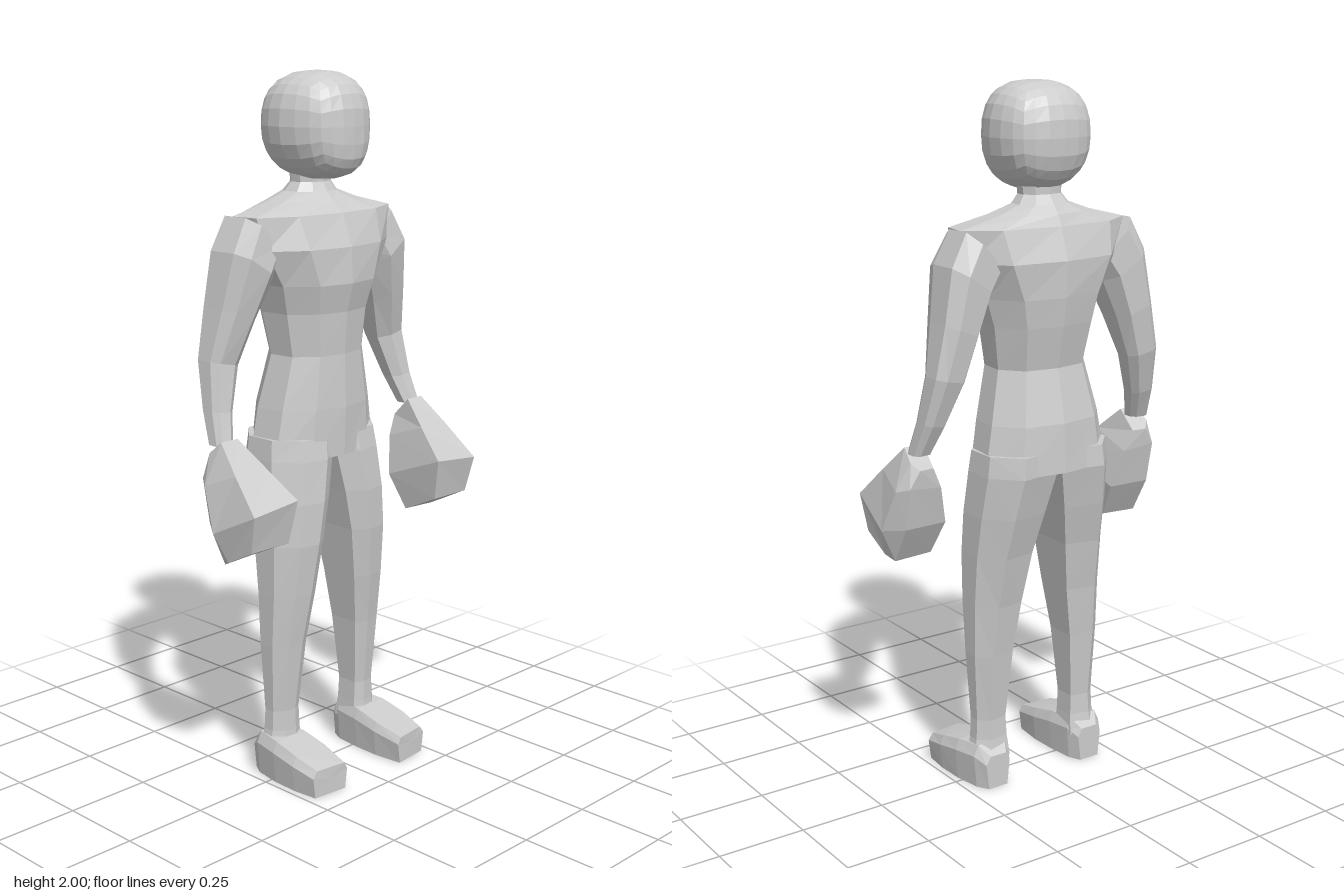
import * as THREE from 'three';

const material = new THREE.MeshStandardMaterial({ color: 0xcccccc, flatShading: true });

// Closed skin over a list of rings (each a list of [x, y, z]), facing outwards
function loft(name, rings) {
  const n = rings[0].length;
  const points = rings.flat();
  const faces = [];
  for (let r = 0; r < rings.length - 1; r++) {
    for (let i = 0; i < n; i++) {
      const a = r * n + i, b = r * n + (i + 1) % n;
      faces.push([a, b, b + n], [a, b + n, a + n]);
    }
  }
  const cap = (start, flip) => {
    const ring = points.slice(start, start + n);
    const centre = points.push([0, 1, 2].map(k => ring.reduce((s, p) => s + p[k], 0) / n)) - 1;
    for (let i = 0; i < n; i++) {
      const a = start + i, b = start + (i + 1) % n;
      faces.push(flip ? [centre, b, a] : [centre, a, b]);
    }
  };
  cap(0, true);
  cap((rings.length - 1) * n, false);

  // The sign of the enclosed volume tells whether the winding must be turned
  const v = points.map(p => new THREE.Vector3(...p));
  const volume = faces.reduce((s, [a, b, c]) => s + v[a].dot(v[b].clone().cross(v[c])), 0);
  if (volume < 0) faces.forEach(f => f.reverse());

  const geometry = new THREE.BufferGeometry().setFromPoints(v);
  geometry.setIndex(faces.flat());
  geometry.computeVertexNormals();
  const mesh = new THREE.Mesh(geometry, material);
  mesh.name = name;
  return mesh;
}

const lerp = THREE.MathUtils.lerp;

// Section outlines: [across 0..1, front to back 0..1]
const torsoHalf = [[0, 0], [0.55, 0.07], [0.95, 0.3], [1, 0.65], [0.65, 0.93], [0, 1]];
const torsoOutline = [...torsoHalf, ...torsoHalf.slice(1, -1).reverse().map(([x, z]) => [-x, z])];
const legOutline = [[0, 0.15], [0.3, 0], [0.7, 0.05], [1, 0.32], [1, 0.7], [0.65, 1], [0, 0.9]];
const armOutline = [[0, 0.25], [0.35, 0], [0.85, 0.04], [1, 0.3], [1, 0.8], [0.75, 1], [0.2, 0.95], [0, 0.7]];

function createTorso() {
  // y, half width, front z, back z
  const levels = [
    [0.94, 0.205, 0.07, -0.19], [1.08, 0.18, 0.075, -0.185], [1.23, 0.145, 0.07, -0.152],
    [1.35, 0.165, 0.08, -0.178], [1.43, 0.19, 0.1, -0.19], [1.53, 0.25, 0.095, -0.195],
    [1.62, 0.272, 0.06, -0.165], [1.65, 0.15, 0.025, -0.15], [1.675, 0.08, 0, -0.13],
    [1.7, 0.062, -0.015, -0.11], [1.76, 0.07, -0.015, -0.11],
  ];
  return loft('torso', levels.map(([y, w, zf, zb]) =>
    torsoOutline.map(([u, t]) => [u * w, y, lerp(zf, zb, t)])));
}

function createHead() {
  // A cube grid swollen into a rounded block
  const geometry = new THREE.BoxGeometry(2, 2, 2, 6, 6, 6);
  const pos = geometry.attributes.position;
  const p = new THREE.Vector3();
  for (let i = 0; i < pos.count; i++) {
    p.fromBufferAttribute(pos, i);
    const k = 2.5;
    p.divideScalar((Math.abs(p.x) ** k + Math.abs(p.y) ** k + Math.abs(p.z) ** k) ** (1 / k));
    // Narrow the jaw and bring the chin forward
    if (p.y < 0) {
      p.x *= 1 - 0.2 * p.y * p.y;
      if (p.z > 0) p.z = Math.min(1, p.z * (1 + 0.3 * p.y * p.y));
    }
    // Draw the face towards the middle
    if (p.z > 0) p.x *= 1 - 0.18 * p.z;
    pos.setXYZ(i, p.x * 0.145, 1.853 + p.y * 0.147, -0.037 + p.z * 0.143);
  }
  geometry.computeVertexNormals();
  const mesh = new THREE.Mesh(geometry, material);
  mesh.name = 'head';
  return mesh;
}

function createLeg(side) {
  // y, inner x, outer x, front z, back z
  const levels = [
    [1.0, 0.004, 0.198, 0.06, -0.185], [0.94, 0.008, 0.205, 0.07, -0.19], [0.82, 0.034, 0.214, 0.078, -0.165],
    [0.7, 0.058, 0.217, 0.075, -0.135], [0.55, 0.08, 0.217, 0.058, -0.108], [0.4, 0.102, 0.215, 0.036, -0.092],
    [0.2, 0.118, 0.205, 0.014, -0.073], [0.14, 0.115, 0.208, 0.015, -0.075], [0.08, 0.11, 0.22, 0.02, -0.085],
  ];
  return loft('leg', levels.map(([y, xi, xo, zf, zb]) =>
    legOutline.map(([u, t]) => [side * lerp(xi, xo, u), y, lerp(zf, zb, t)])));
}

function createFoot(side) {
  // z, inner x, outer x, top y, all standing on the floor
  const sections = [
    [-0.095, 0.125, 0.205, 0.1], [-0.06, 0.108, 0.225, 0.128],
    [0.02, 0.1, 0.238, 0.122], [0.1, 0.098, 0.24, 0.103], [0.188, 0.108, 0.232, 0.08],
  ];
  return loft('foot', sections.map(([z, xi, xo, h]) => [
    [xi + 0.008, 0], [xo - 0.008, 0], [xo, h * 0.75], [xo - 0.015, h], [xi + 0.012, h], [xi, h * 0.75],
  ].map(([x, y]) => [side * x, y, x > 0.2 && z > 0.15 ? z - 0.012 : z])));
}

function createArm(side) {
  // inner x and y, outer x and y, front z, back z
  const levels = [
    [0.15, 1.5, 0.272, 1.62, 0.015, -0.15], [0.19, 1.445, 0.32, 1.53, 0.025, -0.158],
    [0.235, 1.34, 0.346, 1.38, -0.005, -0.155], [0.278, 1.22, 0.374, 1.24, -0.04, -0.14],
    [0.32, 1.1, 0.39, 1.11, -0.025, -0.1], [0.345, 1.02, 0.402, 1.02, 0, -0.06],
  ];
  return loft('arm', levels.map(([xi, yi, xo, yo, zf, zb]) =>
    armOutline.map(([u, t]) => [side * lerp(xi, xo, u), lerp(yi, yo, u), lerp(zf, zb, t)])));
}

function createHand(side) {
  // Mitten from the wrist down and forward to the fist
  const rings = [
    [[0.342, 1.035, 0], [0.402, 1.035, 0], [0.408, 1.0, -0.04], [0.39, 0.98, -0.06], [0.345, 0.98, -0.055]],
    [[0.285, 0.885, 0.173], [0.445, 0.87, 0.175], [0.462, 0.8, 0.03], [0.42, 0.81, -0.03], [0.29, 0.81, -0.025]],
    [[0.298, 0.765, 0.15], [0.435, 0.765, 0.15], [0.435, 0.72, 0.06], [0.42, 0.705, 0.03], [0.305, 0.71, 0.03]],
  ];
  // Outer knuckle line bulging behind the wrist
  rings.splice(1, 0, [[0.315, 0.965, 0.08], [0.424, 0.96, 0.08], [0.445, 0.92, -0.02], [0.42, 0.93, -0.055], [0.318, 0.92, -0.05]]);
  return loft('hand', rings.map(r => r.map(([x, y, z]) => [side * x, y, z])));
}

export function createModel() {
  const model = new THREE.Group();
  model.name = 'figure';
  model.add(createTorso(), createHead());
  for (const [side, label] of [[1, 'left'], [-1, 'right']]) {
    for (const part of [createArm, createHand, createLeg, createFoot]) {
      const mesh = part(side);
      mesh.name = label + mesh.name[0].toUpperCase() + mesh.name.slice(1);
      model.add(mesh);
    }
  }
  return model;
}
